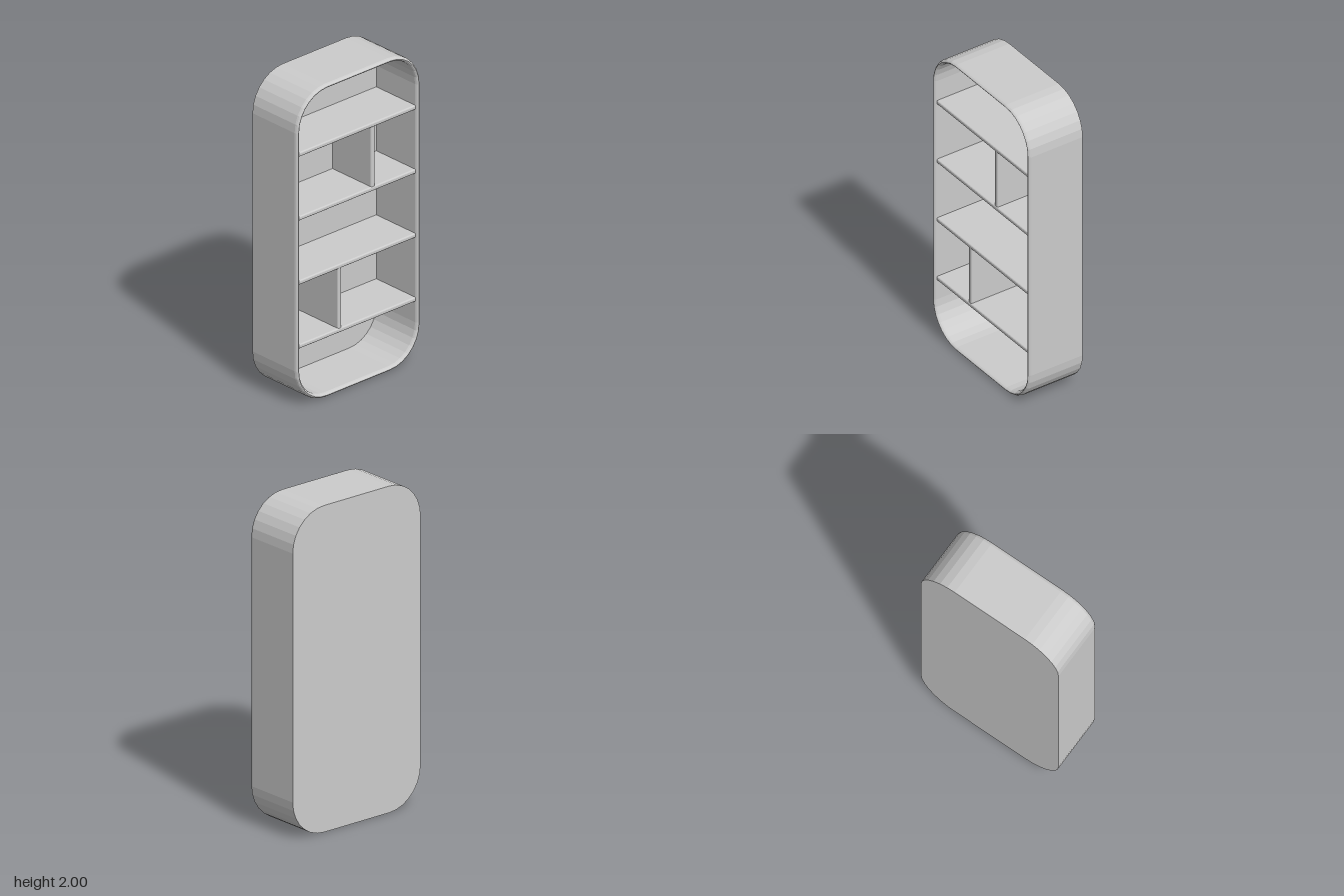
import * as THREE from 'three';
import { RoundedBoxGeometry } from 'three/addons/geometries/RoundedBoxGeometry.js';

const HALF_W = 0.485, RADIUS = 0.238, STEPS = 7;
const BACK = -0.188, FLOOR = -0.158, BOARD = 0.028;

// Rounded rectangle in (z, y), shrunk by an inset, counter-clockwise
function outline(inset) {
  const points = [], r = RADIUS - inset;
  const cz = HALF_W - RADIUS, cy = 1 - RADIUS;
  [[1, 1], [-1, 1], [-1, -1], [1, -1]].forEach(([sz, sy], corner) => {
    for (let i = 0; i <= STEPS; i++) {
      const a = (corner + i / STEPS) * Math.PI / 2;
      points.push(new THREE.Vector2(sz * cz + r * Math.cos(a), 1 + sy * cy + r * Math.sin(a)));
    }
  });
  return points;
}

// Sweeps a profile of [x, inset] points round the outline
function frameGeometry(profile) {
  const rings = profile.map(([x, inset]) => outline(inset).map(p => [x, p.y, p.x]));
  const n = rings[0].length, position = [], index = [];
  rings.forEach(ring => ring.forEach(p => position.push(...p)));
  for (let k = 0; k < rings.length - 1; k++) {
    for (let i = 0; i < n; i++) {
      const j = (i + 1) % n, a = k * n + i, b = k * n + j, c = a + n, d = b + n;
      index.push(a, c, b, b, c, d);
    }
  }
  const geometry = new THREE.BufferGeometry();
  geometry.setAttribute('position', new THREE.Float32BufferAttribute(position, 3));
  geometry.setIndex(index);
  geometry.computeVertexNormals();
  return geometry;
}

export function createModel() {
  const group = new THREE.Group();
  const material = new THREE.MeshStandardMaterial({ color: 0xcccccc, flatShading: true });
  const add = (name, geometry, x = 0, y = 0, z = 0) => {
    const mesh = new THREE.Mesh(geometry, material);
    mesh.name = name;
    mesh.position.set(x, y, z);
    group.add(mesh);
  };

  // Outer wall with a rounded rim on the open side
  add('outerFrame', frameGeometry([
    [FLOOR, 0], [0.168, 0], [0.178, 0.003], [0.185, 0.008], [0.188, 0.0135],
    [0.185, 0.019], [0.178, 0.024], [0.168, 0.027], [FLOOR, 0.027],
  ]));

  // Flat back
  const back = new THREE.ExtrudeGeometry(new THREE.Shape(outline(0)),
    { depth: FLOOR - BACK, bevelEnabled: false });
  back.rotateY(Math.PI / 2);
  add('backPanel', back, BACK);

  // Shelves and dividers, their backs sunk into the back panel
  const front = 0.174, rear = FLOOR - 0.015;
  const depth = front - rear, midX = (front + rear) / 2;
  const shelfY = [0.386, 0.795, 1.205, 1.614];
  shelfY.forEach((y, i) => {
    add('shelf' + (i + 1), new RoundedBoxGeometry(depth, BOARD, 0.924, 3, 0.009), midX, y, 0);
  });
  [[0, 0.132, 'lowerDivider'], [2, -0.128, 'upperDivider']].forEach(([i, z, name]) => {
    const height = shelfY[i + 1] - shelfY[i] - 0.006;
    add(name, new RoundedBoxGeometry(depth - 0.004, height, 0.03, 3, 0.009),
      midX - 0.002, (shelfY[i] + shelfY[i + 1]) / 2, z);
  });
  return group;
}
